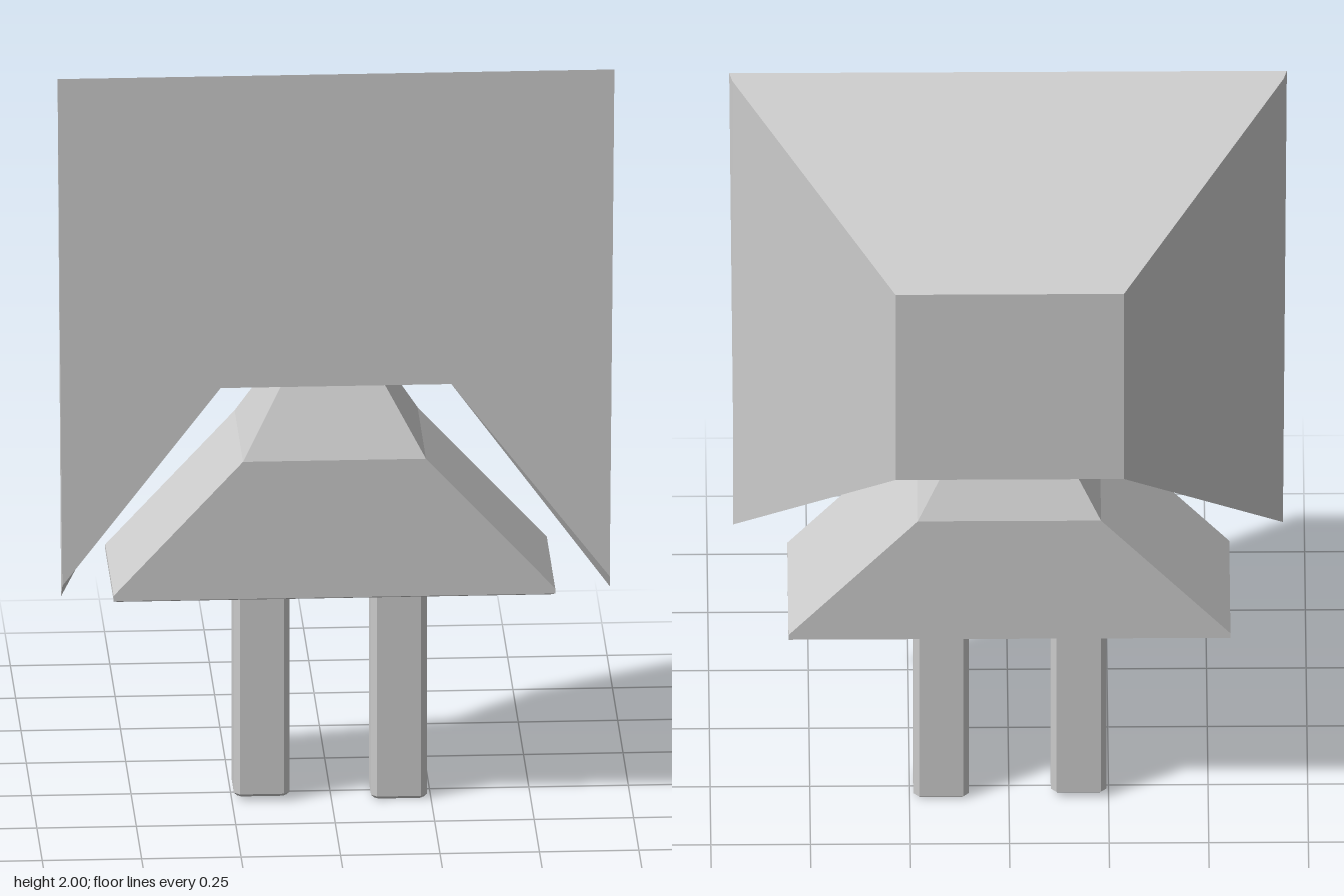
import * as THREE from 'three';

const material = new THREE.MeshStandardMaterial({ color: 0xcccccc, flatShading: true });

// Fan-triangulates convex polygons given as lists of [x, y, z] corners
function polyhedron(name, faces) {
  const pos = [];
  for (const f of faces) {
    for (let i = 1; i < f.length - 1; i++) pos.push(...f[0], ...f[i], ...f[i + 1]);
  }
  const g = new THREE.BufferGeometry();
  g.setAttribute('position', new THREE.Float32BufferAttribute(pos, 3));
  g.computeVertexNormals();
  const mesh = new THREE.Mesh(g, material);
  mesh.name = name;
  return mesh;
}

const mirror = ([x, y, z]) => [-x, y, z];

// Stacks rectangular sections [y, halfWidth, zBack, zFront] into a closed solid
function loft(name, sections) {
  const rings = sections.map(([y, w, b, f]) => [[-w, y, f], [w, y, f], [w, y, b], [-w, y, b]]);
  const faces = [[...rings[0]].reverse(), rings[rings.length - 1]];
  for (let i = 0; i < rings.length - 1; i++) {
    for (let j = 0; j < 4; j++) {
      const k = (j + 1) % 4;
      faces.push([rings[i][j], rings[i][k], rings[i + 1][k], rings[i + 1][j]]);
    }
  }
  return polyhedron(name, faces);
}

// Wedge head: wide notched front tapering to a small back panel
function makeHead() {
  const top = [0.7, 2, 0.285], rimTop = [0.692, 1.99, 0.265];
  const tip = [0.688, 0.655, 0.288], rimTip = [0.69, 0.62, 0.265];
  const notch = [0.29, 1.172, 0.285];
  const backTop = [0.287, 1.722, -0.285], backLow = [0.287, 1.15, -0.285];
  const sideFaces = [
    [notch, tip, top],
    [tip, rimTip, rimTop, top],
    [rimTip, backLow, backTop, rimTop],
    [notch, backLow, rimTip, tip],
  ];
  return polyhedron('head', [
    ...sideFaces,
    ...sideFaces.map((f) => f.map(mirror).reverse()),
    [mirror(notch), notch, top, mirror(top)],
    [backLow, mirror(backLow), mirror(backTop), backTop],
    [mirror(top), top, rimTop, backTop, mirror(backTop), mirror(rimTop)],
    [notch, mirror(notch), mirror(backLow), backLow],
  ]);
}

// Square post with chamfered edges
function makeLeg(name, x, bottom) {
  const w = 0.07, d = 0.067, c = 0.01, bevel = 0.008;
  const a = w - bevel, b = d - bevel;
  const shape = new THREE.Shape([
    [-a + c, -b], [a - c, -b], [a, -b + c], [a, b - c],
    [a - c, b], [-a + c, b], [-a, b - c], [-a, -b + c],
  ].map(([u, v]) => new THREE.Vector2(u, v)));
  const g = new THREE.ExtrudeGeometry(shape, {
    depth: 0.59 - bottom - 2 * bevel, bevelEnabled: true,
    bevelSize: bevel, bevelThickness: bevel, bevelSegments: 1,
  });
  g.rotateX(-Math.PI / 2);
  const leg = new THREE.Mesh(g, material);
  leg.position.set(x, bottom + bevel, 0.01);
  leg.name = name;
  return leg;
}

export function createModel() {
  const model = new THREE.Group();
  model.name = 'figure';
  model.add(makeHead());
  // Flared body with a chamfered hem, narrowing into the neck
  model.add(loft('body', [
    [0.578, 0.545, -0.165, 0.195],
    [0.586, 0.555, -0.185, 0.213],
    [0.6, 0.555, -0.185, 0.213],
    [0.95, 0.23, -0.185, 0.213],
    [1.165, 0.105, -0.08, 0.11],
  ]));
  model.add(makeLeg('leftLeg', 0.17, 0));
  model.add(makeLeg('rightLeg', -0.175, 0.012));
  return model;
}
